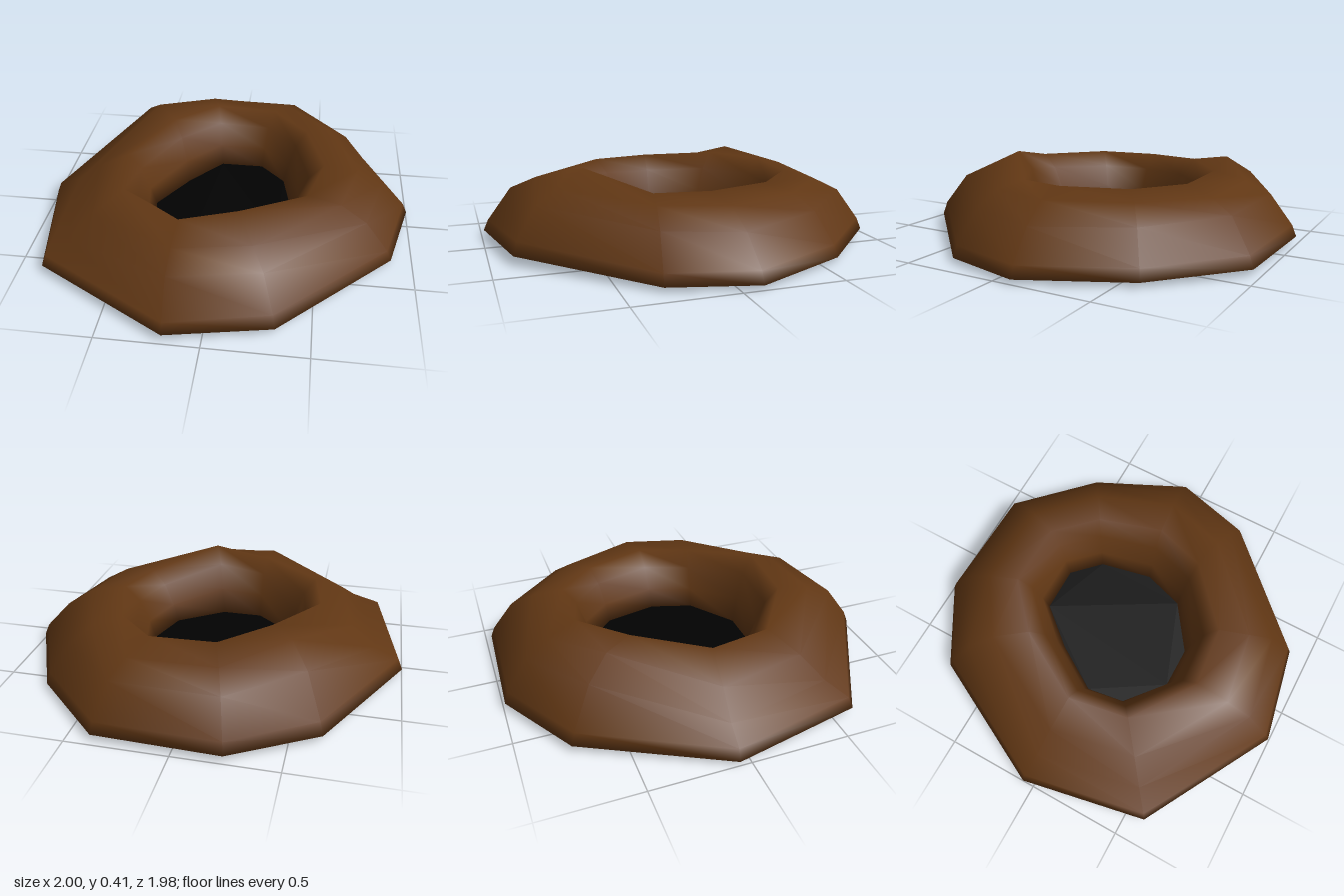
import * as THREE from 'three';

// One entry per spoke: outer x, z, hole x, z, then heights of base, lower shoulder, upper shoulder, crest
const SPOKES = [
  [1.0, -0.1, 0.36, -0.02, 0.0, 0.22, 0.31, 0.34],
  [0.89, 0.32, 0.29, 0.2, 0.0, 0.23, 0.31, 0.33],
  [0.33, 0.89, 0.05, 0.37, 0.02, 0.27, 0.33, 0.41],
  [-0.18, 0.99, -0.17, 0.37, 0.025, 0.27, 0.32, 0.35],
  [-0.87, 0.6, -0.37, 0.2, 0.02, 0.15, 0.25, 0.34],
  [-1.0, -0.06, -0.4, 0.0, 0.0, 0.13, 0.24, 0.34],
  [-0.65, -0.75, -0.25, -0.24, 0.01, 0.29, 0.38, 0.37],
  [-0.24, -0.99, -0.08, -0.44, 0.01, 0.25, 0.32, 0.36],
  [0.38, -0.97, 0.16, -0.44, 0.01, 0.25, 0.31, 0.35],
  [0.76, -0.6, 0.3, -0.3, 0.0, 0.23, 0.31, 0.34],
];

const HOLE_Y = 0.035;

// Section of a spoke: [way from outer rim to hole, height]
function section(base, lower, upper, crest) {
  const rise = (share) => base + (crest - base) * share;
  return [
    [0.12, base], [0, rise(0.07)], [0.04, rise(0.24)], [0.24, lower], [0.46, upper],
    [0.75, crest], [0.87, rise(0.76)], [0.95, rise(0.4)], [1, HOLE_Y],
    [0.82, rise(0.12)], [0.48, rise(0.16)], // shallow underside
  ];
}

function moundGeometry() {
  const n = SPOKES.length;
  const positions = [], index = [];
  SPOKES.forEach(([ox, oz, hx, hz, ...heights], i) => {
    const points = section(...heights), m = points.length;
    points.forEach(([t, y], j) => {
      positions.push(ox + (hx - ox) * t, y, oz + (hz - oz) * t);
      const a = i * m + j, b = i * m + (j + 1) % m;
      const c = ((i + 1) % n) * m + j, d = ((i + 1) % n) * m + (j + 1) % m;
      index.push(a, b, d, a, d, c);
    });
  });
  const geometry = new THREE.BufferGeometry();
  geometry.setAttribute('position', new THREE.Float32BufferAttribute(positions, 3));
  geometry.setIndex(index);
  geometry.computeVertexNormals();
  return geometry;
}

export function createModel() {
  const group = new THREE.Group();
  group.name = 'burrow';

  // Lumpy ring of earth
  const mound = new THREE.Mesh(
    moundGeometry(),
    new THREE.MeshStandardMaterial({ color: 0x613714, side: THREE.DoubleSide })
  );
  mound.name = 'earthMound';
  group.add(mound);

  // Dark floor closing the hole
  const outline = new THREE.Shape(SPOKES.map(([, , hx, hz]) => new THREE.Vector2(hx, -hz)));
  const floor = new THREE.Mesh(
    new THREE.ShapeGeometry(outline).rotateX(-Math.PI / 2).translate(0, HOLE_Y, 0),
    new THREE.MeshStandardMaterial({ color: 0x020202, side: THREE.DoubleSide })
  );
  floor.name = 'holeFloor';
  group.add(floor);

  return group;
}
